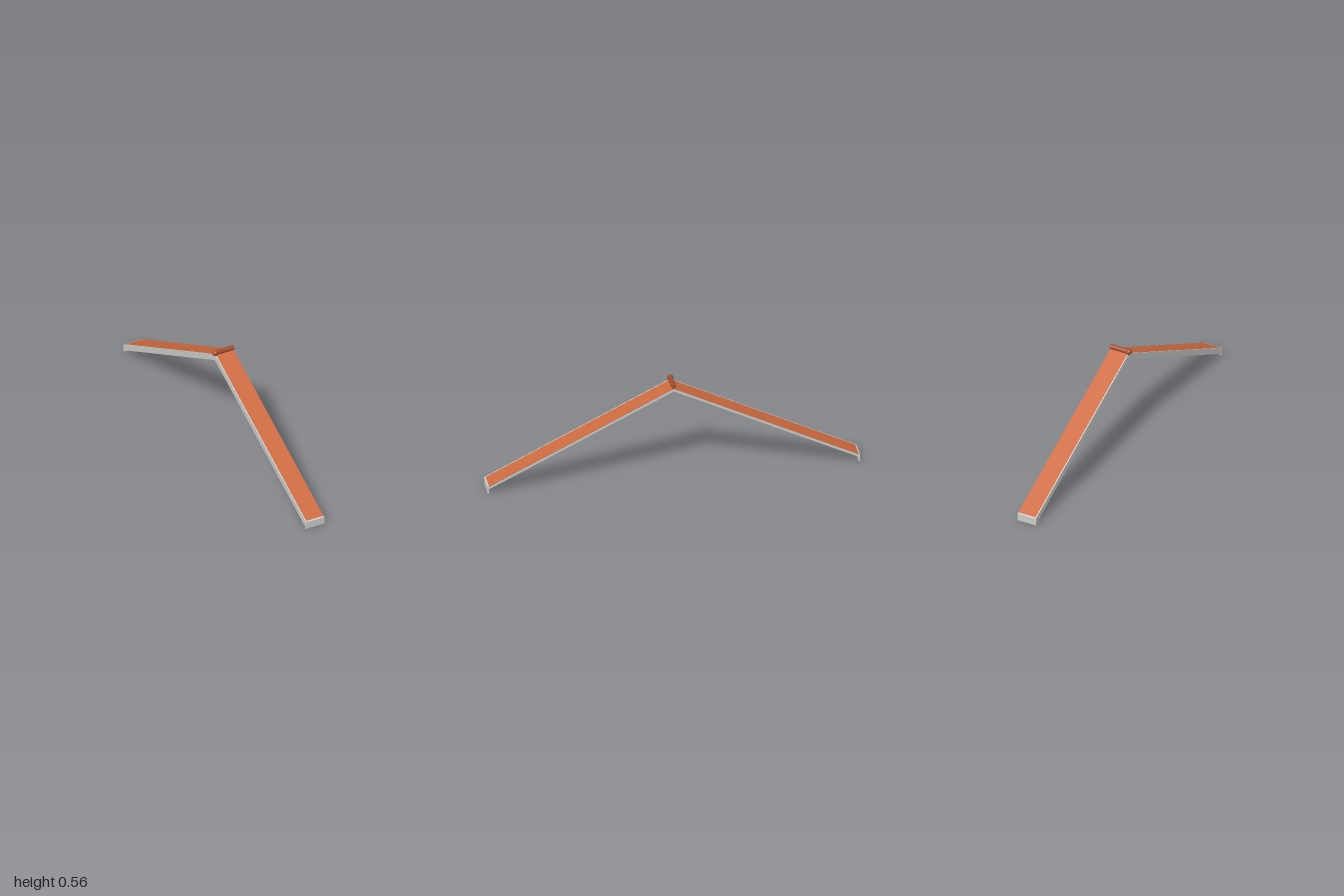
import * as THREE from 'three';

const mat = (name, color) => {
  const m = new THREE.MeshStandardMaterial({ color });
  m.name = name;
  return m;
};

export function createModel() {
  const orange = mat('orange roofing', 0xcd6a40);
  const brown = mat('brown ridge', 0xa34e2c);
  const grey = mat('grey trim', 0xcbcbc9);
  const group = new THREE.Group();
  group.name = 'gableRoof';

  const add = (name, geometry, material) => {
    const mesh = new THREE.Mesh(geometry, material);
    mesh.name = name;
    group.add(mesh);
    return mesh;
  };

  const PEAK = 0.535, SLOPE = 0.495;
  // Inverted-V band running down both slopes, between x0 and x1;
  // top and bottom are vertical offsets from the roof surface
  const chevron = (x0, x1, end, top, bottom) => {
    const y = (z, offset) => PEAK - SLOPE * z + offset;
    const shape = new THREE.Shape([
      [-end, y(end, bottom)], [0, y(0, bottom)], [end, y(end, bottom)],
      [end, y(end, top)], [0, y(0, top)], [-end, y(end, top)],
    ].map(([a, b]) => new THREE.Vector2(a, b)));
    const g = new THREE.ExtrudeGeometry(shape, { depth: x1 - x0, bevelEnabled: false });
    return g.rotateY(-Math.PI / 2).translate(x1, 0, 0);
  };

  // Roof deck with its thin coloured covering
  add('roofCovering', chevron(-0.042, 0.0625, 0.992, 0, -0.003), orange);
  add('roofDeck', chevron(-0.042, 0.0625, 0.992, -0.003, -0.018), grey);

  // Verge board on the gable edge, hanging below the deck
  add('vergeBoard', chevron(-0.048, -0.042, 0.992, 0, -0.036), grey);

  // Eaves boards with sloping tops at front and back
  for (const side of [1, -1]) {
    const shape = new THREE.Shape([
      [0.992, 0], [1, 0], [1, 0.04], [0.992, 0.044],
    ].map(([a, b]) => new THREE.Vector2(a, b)));
    const g = new THREE.ExtrudeGeometry(shape, { depth: 0.1105, bevelEnabled: false });
    g.rotateY(-Math.PI / 2).translate(0.0625, 0, 0);
    const board = add(side > 0 ? 'frontEavesBoard' : 'backEavesBoard', g, grey);
    if (side < 0) {
      board.rotation.y = Math.PI;
      board.position.x = 0.0145;
    }
  }

  // Ridge roll with a ball finial at the gable end
  const ridge = add('ridgeRoll', new THREE.CylinderGeometry(0.0135, 0.0135, 0.1105, 32), brown);
  ridge.rotation.z = Math.PI / 2;
  ridge.position.set(0.00725, 0.5445, 0);
  const ball = add('ridgeBall', new THREE.SphereGeometry(0.0165, 32, 20), brown);
  ball.position.set(-0.046, 0.5435, 0);

  return group;
}
